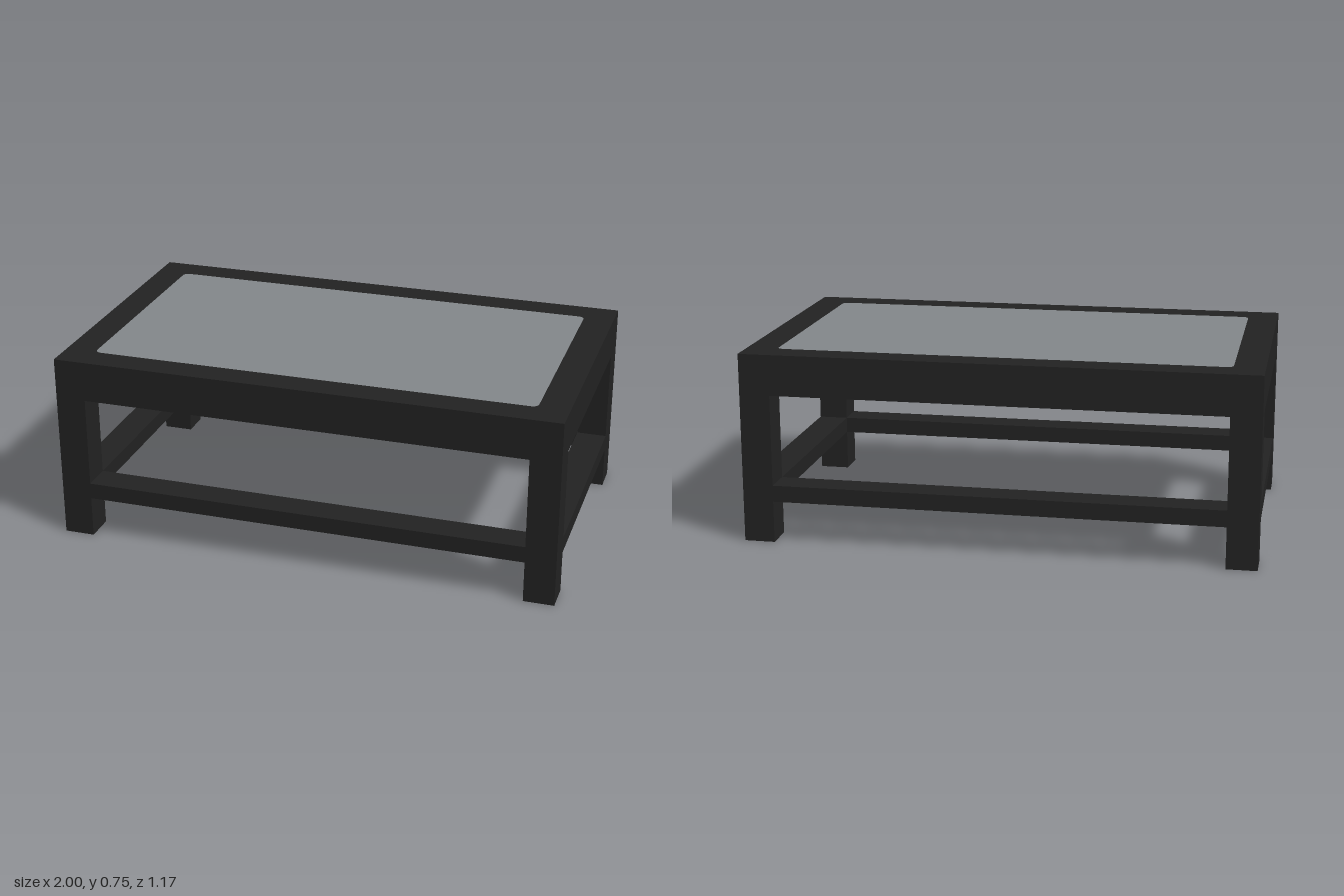
import * as THREE from 'three';

const W = 2, D = 1.17, H = 0.75;   // overall size
const T = 0.12;                    // leg, apron and stretcher thickness
const APRON_Y = 0.59;              // underside of the top frame
const RAIL_Y = 0.165, RAIL_H = 0.065;

function roundedRect(target, w, d, r) {
  const x = w / 2, y = d / 2;
  target.moveTo(-x + r, -y);
  target.lineTo(x - r, -y);
  target.absarc(x - r, -y + r, r, -Math.PI / 2, 0);
  target.lineTo(x, y - r);
  target.absarc(x - r, y - r, r, 0, Math.PI / 2);
  target.lineTo(-x + r, y);
  target.absarc(-x + r, y - r, r, Math.PI / 2, Math.PI);
  target.lineTo(-x, -y + r);
  target.absarc(-x + r, -y + r, r, Math.PI, Math.PI * 1.5);
  return target;
}

// Extrudes a plan shape upwards from y0 to y1
function slab(shape, y0, y1) {
  const g = new THREE.ExtrudeGeometry(shape, { depth: y1 - y0, bevelEnabled: false, curveSegments: 5 });
  return g.rotateX(-Math.PI / 2).translate(0, y0, 0);
}

export function createModel() {
  const group = new THREE.Group();
  group.name = 'coffeeTable';
  const wood = new THREE.MeshStandardMaterial({ color: 0x222222 });
  wood.name = 'blackWood';
  const glass = new THREE.MeshStandardMaterial({ color: 0x828689 });
  glass.name = 'greyGlass';

  const add = (name, geometry, material) => {
    const mesh = new THREE.Mesh(geometry, material);
    mesh.name = name;
    group.add(mesh);
    return mesh;
  };
  const box = (name, w, h, d, x, y0, z) =>
    add(name, new THREE.BoxGeometry(w, h, d), wood).position.set(x, y0 + h / 2, z);

  // Deep top frame with a rounded opening
  const innerW = W - 2 * T, innerD = D - 2 * T + 0.01, R = 0.025;
  const frame = new THREE.Shape([
    new THREE.Vector2(-W / 2, -D / 2), new THREE.Vector2(W / 2, -D / 2),
    new THREE.Vector2(W / 2, D / 2), new THREE.Vector2(-W / 2, D / 2),
  ]);
  frame.holes.push(roundedRect(new THREE.Path(), innerW, innerD, R));
  add('topFrame', slab(frame, APRON_Y, H), wood);

  // Glass panel set flush into the frame
  add('glassPanel', slab(roundedRect(new THREE.Shape(), innerW, innerD, R), H - 0.015, H), glass);

  // Legs and the stretchers between them
  const lx = (W - T) / 2, lz = (D - T) / 2;
  for (const sx of [-1, 1]) {
    for (const sz of [-1, 1]) {
      box(`${sz > 0 ? 'front' : 'back'}${sx > 0 ? 'Left' : 'Right'}Leg`, T, APRON_Y, T, sx * lx, 0, sz * lz);
    }
    box(sx > 0 ? 'leftStretcher' : 'rightStretcher', T, RAIL_H, D - 2 * T, sx * lx, RAIL_Y, 0);
    box(sx > 0 ? 'frontStretcher' : 'backStretcher', W - 2 * T, RAIL_H, T, 0, RAIL_Y, sx * lz);
  }
  return group;
}
